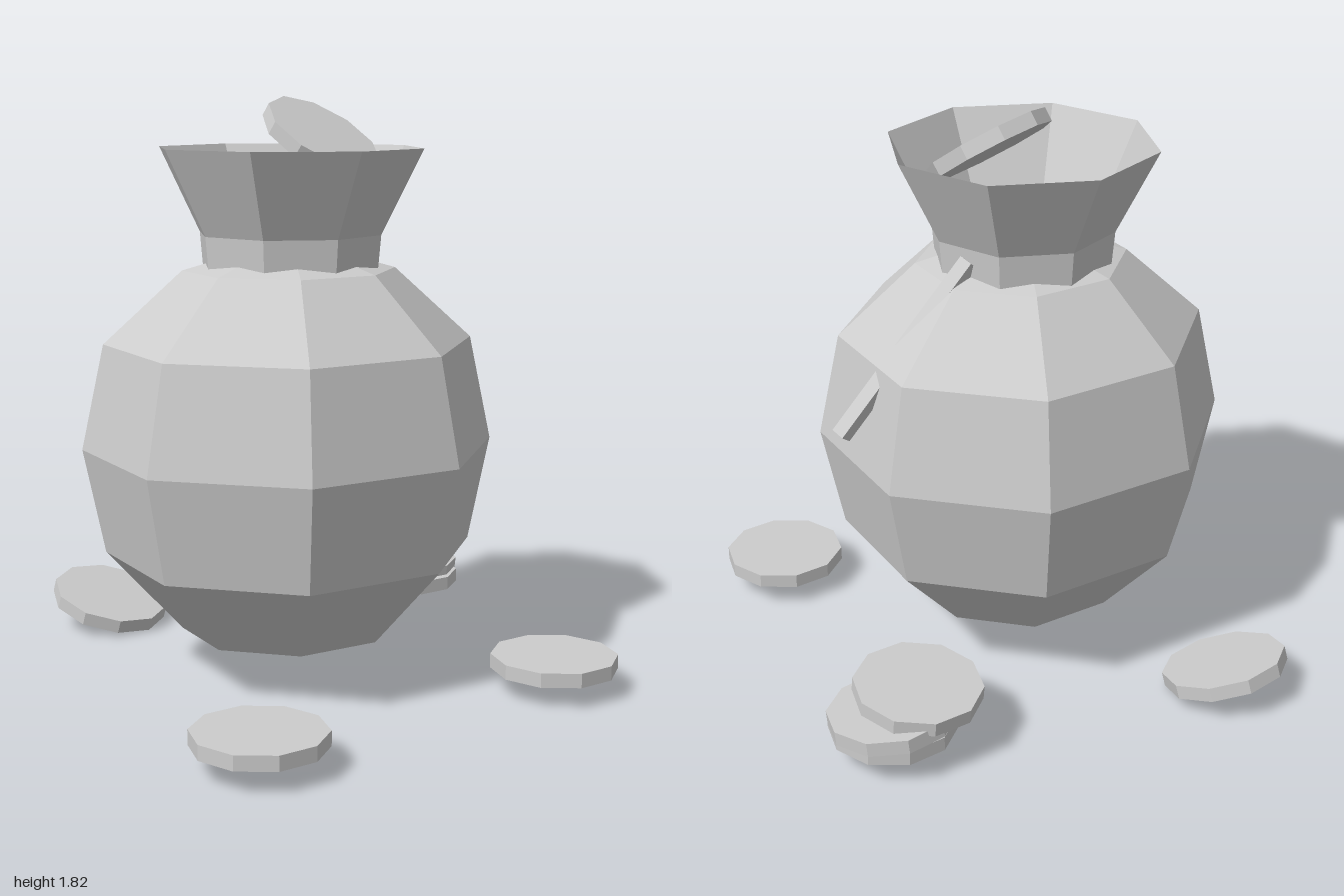
import * as THREE from 'three';

const grey = new THREE.MeshStandardMaterial({ color: 0xcccccc, flatShading: true, side: THREE.DoubleSide });
grey.name = 'light grey';

function add(parent, name, geometry, position = [0, 0, 0], rotation = [0, 0, 0]) {
  const mesh = new THREE.Mesh(geometry, grey);
  mesh.name = name;
  mesh.position.set(...position);
  mesh.rotation.set(...rotation);
  parent.add(mesh);
  return mesh;
}

// Eight-sided surface of revolution from [radius, y] pairs
function octagonLathe(profile, phiStart = 0) {
  return new THREE.LatheGeometry(profile.map(([r, y]) => new THREE.Vector2(r, y)), 8, phiStart);
}

export function createModel() {
  const model = new THREE.Group();
  model.name = 'coinSack';

  // Rounded body, slightly narrower front to back
  const body = add(model, 'sackBody', octagonLathe([
    [0, 0.04], [0.355, 0.14], [0.6, 0.4], [0.67, 0.73], [0.598, 1.06], [0.345, 1.285], [0, 1.38],
  ]), [-0.07, 0, 0]);
  body.scale.z = 0.948;

  // Tied neck and open flared mouth
  const neck = [-0.06, 0, -0.008];
  add(model, 'sackNeck', octagonLathe([[0.28, 1.25], [0.293, 1.395], [0.425, 1.66]], Math.PI / 8), neck);
  add(model, 'mouthFloor', octagonLathe([[0.293, 1.395], [0, 1.395]], Math.PI / 8), neck);

  // Straight tie cord running from the neck through the bulge of the body
  const from = new THREE.Vector3(0.2, 1.35, 0);
  const to = new THREE.Vector3(0.575, 0.86, 0.205);
  const cord = add(model, 'tieCord', new THREE.BoxGeometry(0.045, from.distanceTo(to), 0.045));
  cord.position.copy(from).add(to).multiplyScalar(0.5);
  cord.quaternion.setFromUnitVectors(new THREE.Vector3(0, 1, 0), from.clone().sub(to).normalize());

  // Ten-sided coins: position, then tilt about x and z
  const coinGeometry = new THREE.CylinderGeometry(0.198, 0.198, 0.045, 10);
  const coins = [
    ['mouthCoin', [0.09, 1.685, 0.005], 0.6, 0],
    ['backCoin', [-0.07, 0.078, -0.797], 0.305, 0],
    ['rightCoin', [-0.815, 0.087, 0.472], 0, 0],
    ['frontCoin', [0.25, 0.087, 0.79], 0, 0],
    ['stackCoinBottom', [0.78, 0.087, -0.14], 0, 0],
    ['stackCoinMiddle', [0.805, 0.14, -0.16], 0.1, -0.03],
    ['stackCoinTop', [0.728, 0.198, -0.198], -0.1, 0],
  ];
  for (const [name, position, tiltX, tiltZ] of coins) add(model, name, coinGeometry, position, [tiltX, 0, tiltZ]);

  return model;
}
